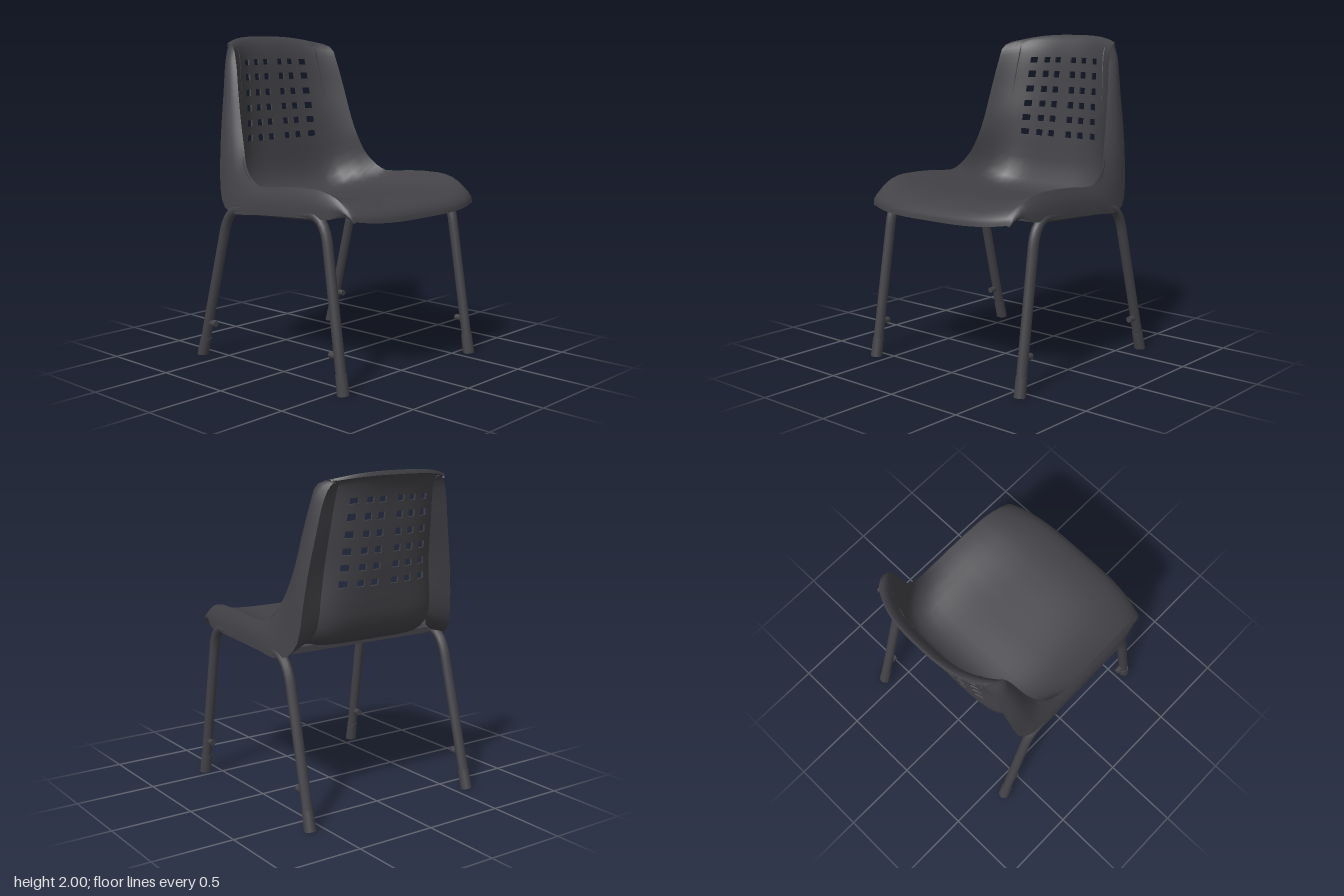
import * as THREE from 'three';
import { toCreasedNormals } from 'three/addons/utils/BufferGeometryUtils.js';

const V = (x, y, z) => new THREE.Vector3(x, y, z);
const charcoal = new THREE.MeshStandardMaterial({ color: 0x434247, side: THREE.DoubleSide });
charcoal.name = 'charcoal';

// Shell stations from front lip to top of back:
// centre y, z | rim x, y, z | flange end x, y, z
const stations = [
  [0.955, 0.68, 0.525, 0.98, 0.61, 0.535, 0.97, 0.6],
  [0.995, 0.67, 0.54, 1.02, 0.595, 0.55, 0.995, 0.585],
  [1.035, 0.62, 0.55, 1.075, 0.53, 0.565, 1.015, 0.53],
  [1.06, 0.5, 0.56, 1.12, 0.44, 0.585, 0.985, 0.46],
  [1.06, 0.35, 0.565, 1.14, 0.33, 0.6, 0.98, 0.36],
  [1.035, 0.1, 0.57, 1.135, 0.08, 0.605, 0.965, 0.08],
  [1.01, -0.15, 0.57, 1.12, -0.12, 0.605, 0.95, -0.15],
  [0.99, -0.31, 0.56, 1.15, -0.19, 0.605, 0.938, -0.3],
  [1.005, -0.42, 0.55, 1.19, -0.24, 0.585, 0.965, -0.42],
  [1.1, -0.5, 0.535, 1.24, -0.28, 0.56, 1.05, -0.485],
  [1.28, -0.53, 0.515, 1.32, -0.315, 0.54, 1.24, -0.51],
  [1.45, -0.555, 0.495, 1.45, -0.36, 0.515, 1.43, -0.525],
  [1.65, -0.58, 0.472, 1.65, -0.41, 0.475, 1.65, -0.545],
  [1.85, -0.605, 0.447, 1.83, -0.455, 0.44, 1.83, -0.565],
  [1.95, -0.635, 0.435, 1.92, -0.49, 0.41, 1.91, -0.58],
  [2.0, -0.675, 0.405, 1.955, -0.575, 0.385, 1.94, -0.595],
  [1.975, -0.685, 0.395, 1.945, -0.59, 0.38, 1.93, -0.6],
];
const centreLine = new THREE.CatmullRomCurve3(stations.map(s => V(0, s[0], s[1])));
const rimLine = new THREE.CatmullRomCurve3(stations.map(s => V(s[2], s[3], s[4])));
const flangeLine = new THREE.CatmullRomCurve3(stations.map(s => V(s[5], s[6], s[7])));

// Squareness of the dished cross-section: boxier at the base of the back, rounder above
const step = THREE.MathUtils.smoothstep;
const squareness = u => 3.5 + 2.5 * step(u, 4, 7.5) - 2.8 * step(u, 8.5, 11.5) - 0.4 * step(u, 12, 15);
// Roundness of the side flange, and how far the back of it returns to the panel
const bulge = u => (0.014 + 0.014 * step(u, 7, 10)) * (1 - step(u, 13, 15));
const returnWidth = u => 0.93 * step(u, 6.5, 8.5) * (1 - step(u, 13.5, 15.5));

// Point on the shell: |s| 0..1 runs from centre to rim, 1..2 round the side flange,
// 2..3 back inwards behind the panel
function shellPoint(u, s) {
  const t = u / (stations.length - 1), a = Math.abs(s);
  const rim = rimLine.getPoint(t), flange = flangeLine.getPoint(t);
  let p;
  if (a <= 1) {
    p = centreLine.getPoint(t).lerp(rim, Math.pow(a, squareness(u)));
    p.x = rim.x * a;
  } else if (a <= 2) {
    p = rim.lerp(flange, a - 1);
    p.x += bulge(u) * Math.sin(Math.PI * (a - 1));
  } else {
    p = flange.lerp(shellPoint(u, 0.74), (a - 2) * returnWidth(u));
  }
  if (s < 0) p.x = -p.x;
  return p;
}

// Height on the back panel to station number
function stationAt(y) {
  let i = 10;
  while (i < 13 && stations[i + 1][0] < y) i++;
  return i + (y - stations[i][0]) / (stations[i + 1][0] - stations[i][0]);
}

function shellGeometry() {
  // Grid lines, with extra ones at the edges of the ventilation holes
  const us = [], half = [0.09, 0.19, 0.28, 0.38, 0.49, 0.6, 0.7, 0.8, 0.88, 0.95, 1, 1.15, 1.35, 1.65, 2, 2.5, 3];
  for (let u = 0; u <= 10; u += 0.5) us.push(u);
  const firstRow = us.length;
  for (let r = 0; r < 6; r++) {
    const y = 1.36 + r * 0.095;
    us.push(stationAt(y - 0.02), stationAt(y + 0.02));
  }
  const lastRow = us.length - 2;
  for (let u = 13.3; u < 15.9; u += 0.45) us.push(u);
  us.push(16);
  const ss = [...half.map(s => -s).reverse(), 0, ...half];
  const m = us.length - 1, n = ss.length - 1;

  const top = us.map(u => ss.map(s => shellPoint(u, s)));
  const under = top.map((row, i) => row.map((p, j) => {
    const across = row[Math.min(j + 1, n)].clone().sub(row[Math.max(j - 1, 0)]);
    const along = top[Math.min(i + 1, m)][j].clone().sub(top[Math.max(i - 1, 0)][j]);
    return p.clone().addScaledVector(across.cross(along).normalize(), -0.012);
  }));

  const holeSides = [0.09, 0.28, 0.49];
  const solid = (i, j) => {
    if (i < 0 || j < 0 || i >= m || j >= n) return false;
    const inRow = i >= firstRow && i <= lastRow && (i - firstRow) % 2 === 0;
    const inner = Math.min(Math.abs(ss[j]), Math.abs(ss[j + 1]));
    return !(inRow && holeSides.includes(inner));
  };

  const pos = [];
  const quad = (a, b, c, d) => [a, b, c, a, c, d].forEach(p => pos.push(p.x, p.y, p.z));
  for (let i = 0; i < m; i++) for (let j = 0; j < n; j++) {
    if (!solid(i, j)) continue;
    const c = [[i, j], [i, j + 1], [i + 1, j + 1], [i + 1, j]];
    const a = c.map(([k, l]) => top[k][l]), b = c.map(([k, l]) => under[k][l]);
    quad(...a);
    quad(b[3], b[2], b[1], b[0]);
    // Walls around holes and outer edges
    [[i - 1, j], [i, j + 1], [i + 1, j], [i, j - 1]].forEach(([k, l], e) => {
      const f = (e + 1) % 4;
      if (!solid(k, l)) quad(a[e], b[e], b[f], a[f]);
    });
  }
  const g = new THREE.BufferGeometry();
  g.setAttribute('position', new THREE.Float32BufferAttribute(pos, 3));
  return toCreasedNormals(g, 0.7);
}

// Keep the feet flat on the floor
function flatten(g) {
  const p = g.attributes.position;
  for (let i = 0; i < p.count; i++) p.setY(i, Math.max(0, p.getY(i)));
  return g;
}

export function createModel() {
  const model = new THREE.Group();
  model.name = 'chair';
  const add = (name, geometry, x = 0, y = 0, z = 0) => {
    const mesh = new THREE.Mesh(geometry, charcoal);
    mesh.name = name;
    mesh.position.set(x, y, z);
    model.add(mesh);
  };

  add('seatShell', shellGeometry());

  for (const side of [1, -1]) {
    const name = side > 0 ? 'left' : 'right';
    const P = (x, y, z) => V(side * x, y, z);
    // One bent tube makes the front leg, seat rail and rear leg
    const path = new THREE.CurvePath();
    const frontFoot = P(0.588, 0, 0.567), frontKnee = P(0.575, 0.85, 0.435), railFront = P(0.575, 0.995, 0.32);
    const railBack = P(0.575, 0.968, -0.28), rearKnee = P(0.575, 0.8, -0.44), rearFoot = P(0.588, 0, -0.648);
    path.add(new THREE.LineCurve3(frontFoot, frontKnee));
    path.add(new THREE.QuadraticBezierCurve3(frontKnee, P(0.575, 0.985, 0.41), railFront));
    path.add(new THREE.LineCurve3(railFront, railBack));
    path.add(new THREE.QuadraticBezierCurve3(railBack, P(0.575, 0.96, -0.4), rearKnee));
    path.add(new THREE.LineCurve3(rearKnee, rearFoot));
    add(name + 'LegFrame', flatten(new THREE.TubeGeometry(path, 72, 0.031, 10)));

    // Ferrules and small lugs on each leg
    for (const [foot, knee, end] of [[frontFoot, frontKnee, 'Front'], [rearFoot, rearKnee, 'Rear']]) {
      const dir = knee.clone().sub(foot).normalize();
      const ferrule = new THREE.CylinderGeometry(0.034, 0.037, 0.12, 10);
      ferrule.applyQuaternion(new THREE.Quaternion().setFromUnitVectors(V(0, 1, 0), dir));
      const c = foot.clone().addScaledVector(dir, 0.058);
      ferrule.translate(c.x, c.y, c.z);
      add(name + end + 'Foot', flatten(ferrule));
      const lug = new THREE.CylinderGeometry(0.02, 0.02, 0.08, 8).rotateX(Math.PI / 2);
      add(name + end + 'Lug', lug, side * 0.585, 0.216, end === 'Front' ? 0.505 : -0.56);
    }
  }

  // Bars joining the rails below the seat
  add('frontCrossbar', new THREE.BoxGeometry(1.14, 0.035, 0.05), 0, 0.985, 0.36);
  add('rearCrossbar', new THREE.BoxGeometry(1.14, 0.035, 0.05), 0, 0.958, -0.28);
  return model;
}
